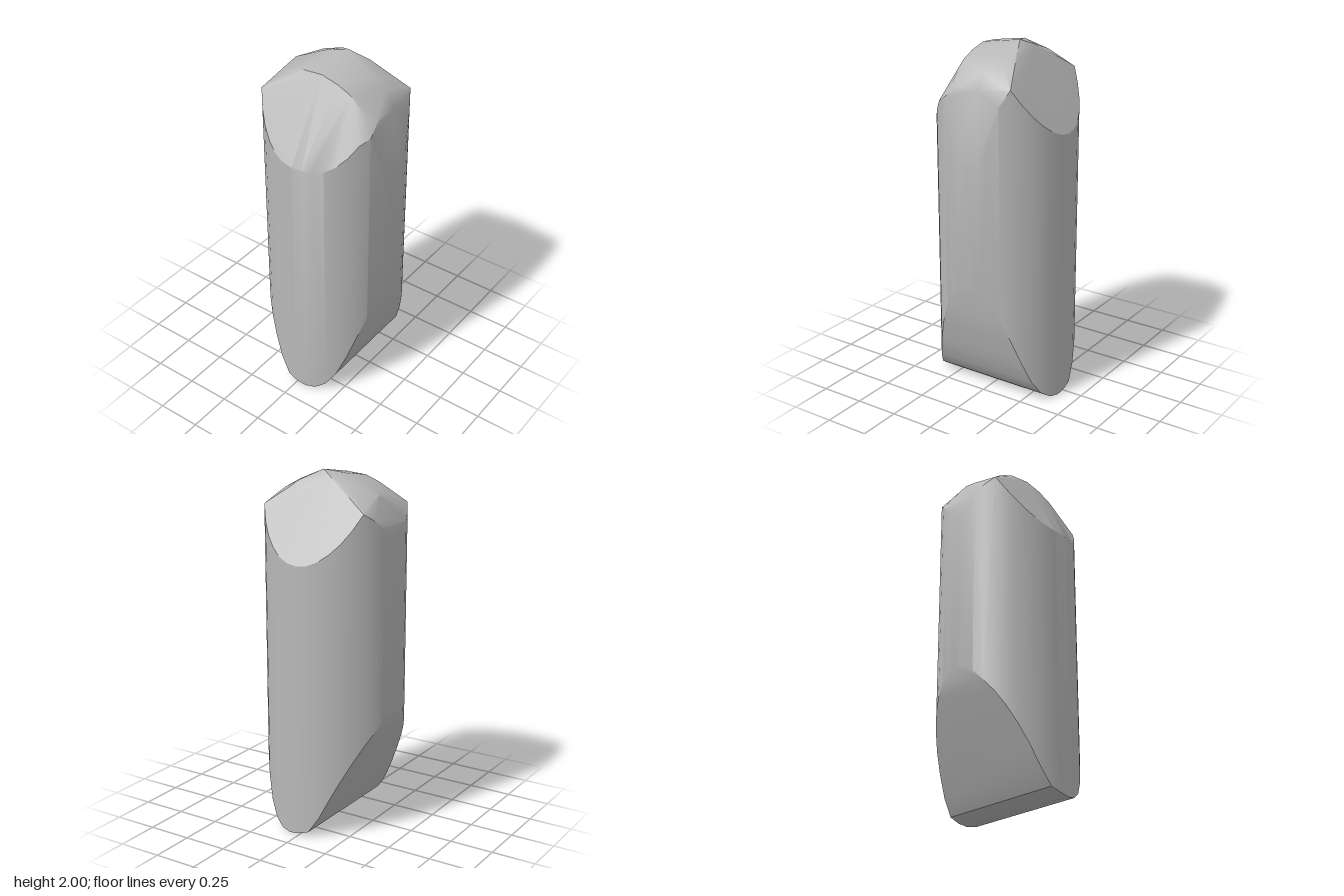
import * as THREE from 'three';
import { ConvexGeometry } from 'three/addons/geometries/ConvexGeometry.js';
import { toCreasedNormals } from 'three/addons/utils/BufferGeometryUtils.js';

const RADIUS = 0.386;
const SIDES = 40;

// Outlines as [position, height] pairs
const keel = [[-0.386, 0.7], [-0.34, 0.58], [-0.1, 0.08], [-0.06, 0.03], [0, 0.01], [0.06, 0],
  [0.13, 0.012], [0.2, 0.07], [0.24, 0.16], [0.28, 0.28], [0.32, 0.43], [0.386, 0.7]];
const crown = [[-0.386, 1.62], [-0.37, 1.72], [-0.29, 1.88], [-0.1, 1.98], [0.02, 2],
  [0.2, 1.93], [0.28, 1.87], [0.335, 1.79], [0.386, 1.37]];
const slopes = [[-0.386, 1.53], [-0.135, 1.97], [0.145, 1.96], [0.386, 1.52]];

// Linear interpolation along an outline
function heightAt(outline, p) {
  for (let i = 1; i < outline.length; i++) {
    const [p0, h0] = outline[i - 1], [p1, h1] = outline[i];
    if (p <= p1) return h0 + (h1 - h0) * Math.max(0, (p - p0) / (p1 - p0));
  }
  return outline[outline.length - 1][1];
}

export function createModel() {
  const group = new THREE.Group();
  group.name = 'taperedBlock';
  const grey = new THREE.MeshStandardMaterial({ color: 0xb8b8b8 });
  grey.name = 'grey';

  const points = [];
  const add = (x, y, z) => points.push(new THREE.Vector3(x, y, z));

  // Round wall, cut by the keel below and by the crown and slopes above
  for (let i = 0; i < SIDES; i++) {
    const a = (i / SIDES) * Math.PI * 2;
    const x = RADIUS * Math.cos(a), z = RADIUS * Math.sin(a);
    const tilt = z > 0 ? 0.45 * Math.max(0, x - 0.04) : 0;
    add(x, heightAt(keel, x), z);
    add(x, Math.min(heightAt(crown, x), heightAt(slopes, z) - tilt), z);
  }

  // Front and back edges of the arched top, and its peak
  for (const [x, y] of [[-0.18, 1.92], [-0.1, 1.95], [0.02, 1.96], [0.12, 1.935], [0.2, 1.9], [0.3, 1.8]])
    add(x, y, 0.145);
  for (const [x, y] of [[-0.18, 1.92], [-0.06, 1.965], [0.12, 1.95], [0.24, 1.89], [0.31, 1.81]])
    add(x, y, -0.138);
  for (const [x, y] of crown.slice(2, -1)) add(x, y, x === 0.02 ? -0.09 : -0.04);
  add(-0.29, 1.87, 0.03);
  add(0.335, 1.78, 0.1);

  const body = new THREE.Mesh(toCreasedNormals(new ConvexGeometry(points), 0.5), grey);
  body.name = 'body';
  group.add(body);
  return group;
}
